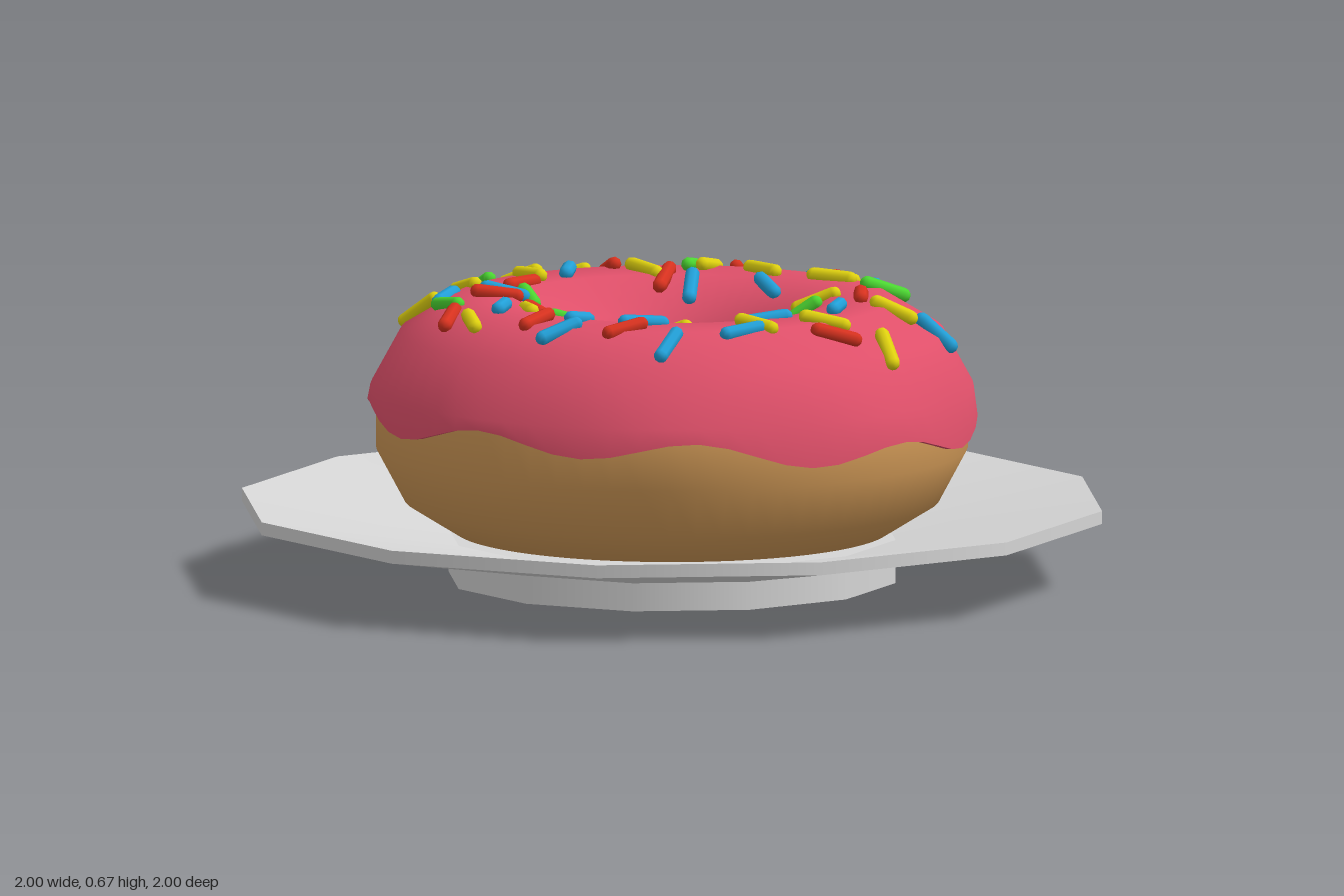
import * as THREE from 'three';

const mat = (name, color, side = THREE.FrontSide) => {
  const m = new THREE.MeshStandardMaterial({ color, side });
  m.name = name;
  return m;
};

// Ring dimensions: centre-line radius and height of the tube
const RING = 0.435, CY = 0.375, SEG = 64;
const ICE_W = 0.265, ICE_H = 0.28;
const DOUGH_W = 0.252, DOUGH_H = 0.272;
const rad = THREE.MathUtils.degToRad;

// Point on the tube: t runs round the ring from +z to +x, p runs outside -> top -> hole
const tubePoint = (t, p, w, h) => {
  const r = RING + w * Math.cos(p);
  return [r * Math.sin(t), CY + h * Math.sin(p), r * Math.cos(t)];
};

// Surface of rows swept once round the ring, optionally closed across the rows
function sweep(rows, closed, point) {
  const pos = [], idx = [];
  for (let j = 0; j < rows; j++)
    for (let i = 0; i < SEG; i++) pos.push(...point((i / SEG) * Math.PI * 2, j));
  for (let j = 0; j < (closed ? rows : rows - 1); j++)
    for (let i = 0; i < SEG; i++) {
      const k = (i + 1) % SEG, n = (j + 1) % rows;
      const a = j * SEG + i, b = j * SEG + k, c = n * SEG + i, d = n * SEG + k;
      idx.push(a, b, c, b, d, c);
    }
  const g = new THREE.BufferGeometry();
  g.setAttribute('position', new THREE.Float32BufferAttribute(pos, 3));
  g.setIndex(idx);
  g.computeVertexNormals();
  return g;
}

// Wavy icing edges, as tube angles
const outerEdge = (t) => {
  const y = 0.378 + 0.024 * Math.cos(8 * t) + 0.024 * Math.cos(t + 0.5) + 0.008 * Math.sin(3 * t);
  return Math.asin((y - CY) / ICE_H);
};
const innerEdge = (t) => Math.PI + 0.12 + 0.1 * Math.cos(7 * t + 1);

// Sprinkles: x, z, turn in degrees
const yellow = [
  [-.19, -.63, 0], [-.09, -.43, 12], [.10, -.45, -17], [.06, -.53, 10], [-.24, -.42, 70],
  [-.51, -.35, -18], [-.51, -.23, -28], [-.31, -.27, 12], [-.53, -.09, -10], [-.45, -.03, 18],
  [-.50, .14, 20], [-.52, .28, -15], [-.16, .32, 40], [-.18, .50, 40], [.19, .23, -3],
  [.49, .04, -28], [.61, -.04, 30], [.47, -.23, -17], [.22, -.25, -30], [.42, .20, 0],
];
const blue = [
  [-.05, -.59, 85], [.18, -.52, 60], [0, -.34, 30], [-.17, -.27, 55], [-.42, -.13, 55],
  [-.44, .28, 72], [-.34, .19, -20], [-.19, .38, 60], [-.12, .25, 80], [.05, .39, 75],
  [.09, .51, -70], [.20, .34, -60], [.35, .43, 75], [.43, .26, -75], [.35, .08, -58],
  [.40, -.11, 60], [.53, -.31, -45],
];
const red = [
  [-.23, -.52, 65], [-.43, -.29, 35], [-.24, -.26, 65], [.03, -.56, 60], [.33, -.28, 50],
  [.55, .07, -50], [-.39, .07, 88], [-.61, .17, 88], [-.33, .23, -40], [-.20, .22, -70],
  [-.27, .47, 65], [-.01, .47, 85], [.22, .43, -75],
];
const green = [
  [-.30, -.51, -8], [-.27, -.39, 58], [.26, -.45, -52], [.22, -.19, -40], [.28, -.01, -70],
  [-.31, .14, 35], [-.56, .02, 15], [-.36, .37, 20], [-.02, .33, -28],
];

export function createModel() {
  const model = new THREE.Group();
  const add = (parent, name, geo, material, y = 0) => {
    const m = new THREE.Mesh(geo, material);
    m.name = name;
    m.position.y = y;
    parent.add(m);
    return m;
  };

  // Twelve-sided plate: sloping dish, rim, underside and hollow foot
  const china = mat('plate grey', 0xd6d6d6, THREE.DoubleSide);
  const plate = new THREE.Group();
  plate.name = 'plate';
  const band = (name, top, bottom, y0, y1) =>
    add(plate, name, new THREE.CylinderGeometry(top, bottom, y1 - y0, 12, 1, true), china, (y0 + y1) / 2);
  band('plateRim', 1, 1, 0.15, 0.18);
  band('plateDish', 1, 0.52, 0.1, 0.18);
  band('plateUnderside', 1, 0.52, 0.065, 0.15);
  band('plateFoot', 0.52, 0.52, 0, 0.065);
  const disc = new THREE.CircleGeometry(0.52, 12);
  add(plate, 'plateCentre', disc, china, 0.1).rotation.x = -Math.PI / 2;
  add(plate, 'plateBase', disc, china, 0.065).rotation.x = Math.PI / 2;
  model.add(plate);

  // Dough ring
  add(model, 'dough', sweep(12, true, (t, j) =>
    tubePoint(t, rad(15 + 30 * j), DOUGH_W, DOUGH_H)), mat('dough brown', 0xd39b58));

  // Icing shell with a thin lip under each wavy edge
  const pink = mat('icing pink', 0xe0506a);
  const icing = new THREE.Group();
  icing.name = 'icing';
  add(icing, 'icingTop', sweep(8, false, (t, j) => {
    const p = j === 0 ? outerEdge(t) : j === 7 ? innerEdge(t) : rad(15 + 30 * (j - 1));
    return tubePoint(t, p, ICE_W, ICE_H);
  }), pink);
  const lip = (name, edge, flip) => add(icing, name, sweep(2, false, (t, j) => {
    const out = (j === 1) !== flip;
    return tubePoint(t, edge(t), out ? ICE_W : ICE_W - 0.03, ICE_H);
  }), pink);
  lip('icingOuterLip', outerEdge, false);
  lip('icingInnerLip', innerEdge, true);
  model.add(icing);

  // Sprinkles lying on the icing, tilted along its slope
  const stick = new THREE.CapsuleGeometry(0.017, 0.09, 3, 8);
  const up = new THREE.Vector3(0, 1, 0);
  const scatter = (name, list, material) => {
    const group = new THREE.Group();
    group.name = name;
    for (const [x, z, turn] of list) {
      const r = Math.hypot(x, z);
      const c = (r - RING) / ICE_W, s = Math.sqrt(1 - c * c);
      const n = new THREE.Vector3((c / ICE_W) * (x / r), s / ICE_H, (c / ICE_W) * (z / r)).normalize();
      const d = new THREE.Vector3(Math.cos(rad(turn)), 0, Math.sin(rad(turn)));
      d.y = -(d.x * n.x + d.z * n.z) / n.y;
      const m = add(group, 'sprinkle', stick, material);
      m.position.set(x, CY + ICE_H * 0.975 * s + 0.006, z);
      m.quaternion.setFromUnitVectors(up, d.normalize());
    }
    model.add(group);
  };
  scatter('yellowSprinkles', yellow, mat('sprinkle yellow', 0xe0d20f));
  scatter('blueSprinkles', blue, mat('sprinkle blue', 0x22a0d8));
  scatter('redSprinkles', red, mat('sprinkle red', 0xd8321f));
  scatter('greenSprinkles', green, mat('sprinkle green', 0x4cd832));

  return model;
}
